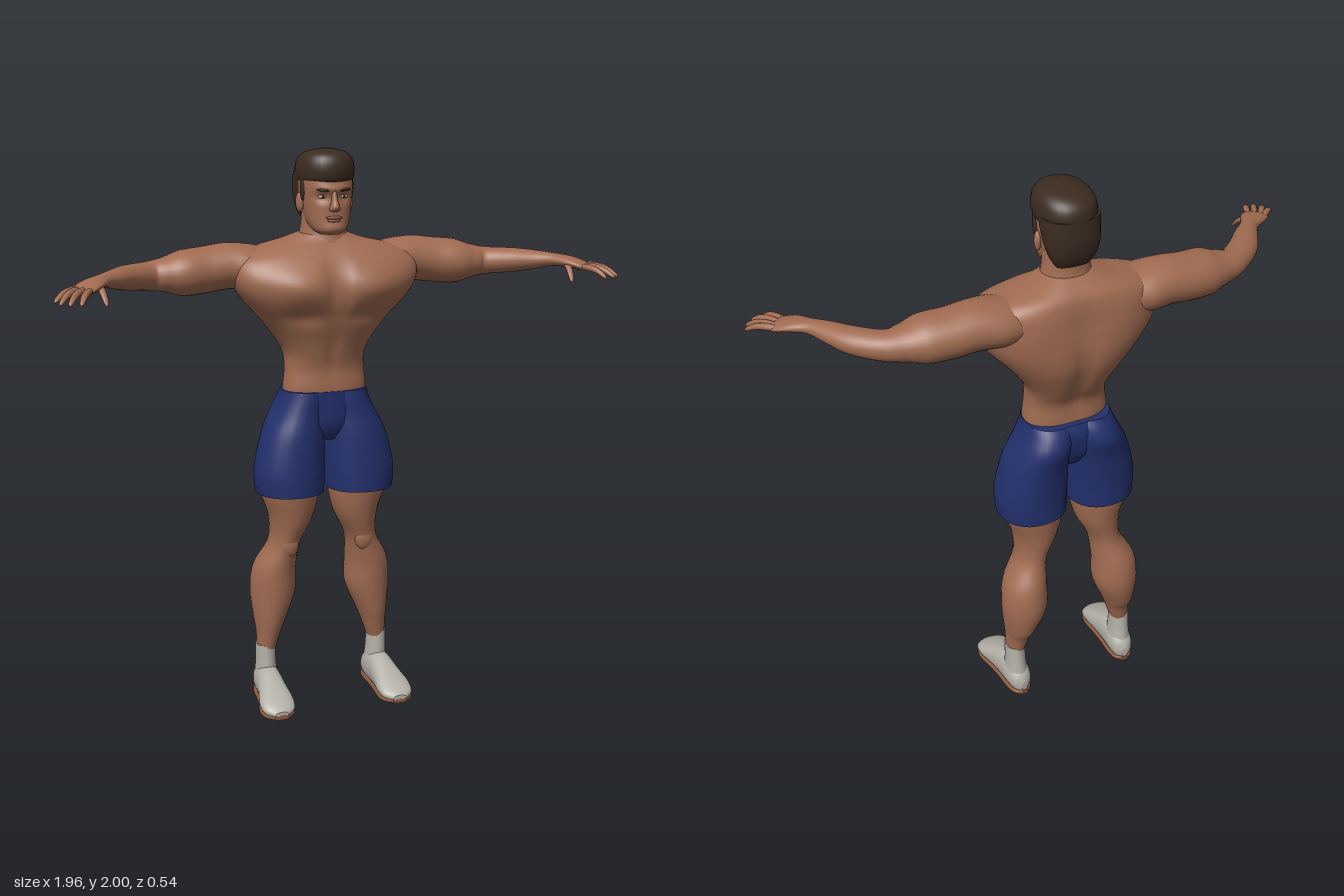
import * as THREE from 'three';

const mat = (name, color, opts = {}) => Object.assign(new THREE.MeshStandardMaterial({ color, ...opts }), { name });

// Smoothly resample rows of numbers (Catmull-Rom on every column)
function resample(rows, steps) {
  const out = [], last = rows.length - 1;
  const row = i => rows[Math.min(last, Math.max(0, i))];
  for (let i = 0; i < last; i++) {
    for (let s = 0; s < steps; s++) {
      const t = s / steps, [p, q, r, w] = [row(i - 1), row(i), row(i + 1), row(i + 2)];
      out.push(q.map((_, k) => 0.5 * (2 * q[k] + (r[k] - p[k]) * t
        + (2 * p[k] - 5 * q[k] + 4 * r[k] - w[k]) * t * t
        + (3 * q[k] - p[k] - 3 * r[k] + w[k]) * t * t * t)));
    }
  }
  out.push(rows[last]);
  return out;
}

// Loft of superellipse rings. Rows are [x, y, z, halfWidth, halfDepth].
// Upright rings lie flat and rows run bottom to top; otherwise rings face along the path.
function loft(rows, { upright = true, steps = 5, sides = 28, power = 2, warp = null } = {}) {
  const secs = resample(rows, steps), pos = [], idx = [];
  const sup = c => Math.sign(c) * Math.abs(c) ** (2 / power);
  secs.forEach((s, i) => {
    const u = new THREE.Vector3(1, 0, 0), v = new THREE.Vector3(0, 0, -1);
    if (!upright) {
      const a = secs[Math.max(0, i - 1)], b = secs[Math.min(secs.length - 1, i + 1)];
      v.set(0, 1, 0);
      u.crossVectors(v, new THREE.Vector3(b[0] - a[0], 0, b[2] - a[2]).normalize());
    }
    for (let j = 0; j < sides; j++) {
      const t = j / sides * Math.PI * 2;
      const p = new THREE.Vector3(s[0], s[1], s[2])
        .addScaledVector(u, Math.max(0.001, s[3]) * sup(Math.cos(t)))
        .addScaledVector(v, Math.max(0.001, s[4]) * sup(Math.sin(t)));
      if (warp) warp(p);
      pos.push(p.x, p.y, p.z);
    }
  });
  for (let i = 0; i < secs.length - 1; i++) {
    for (let j = 0; j < sides; j++) {
      const a = i * sides + j, b = i * sides + (j + 1) % sides;
      idx.push(a, b, a + sides, b, b + sides, a + sides);
    }
  }
  // End caps with their own vertices, so the rims stay crisp
  [0, secs.length - 1].forEach((r, end) => {
    const base = pos.length / 3, c = [0, 0, 0];
    for (let j = 0; j < sides; j++) {
      for (let k = 0; k < 3; k++) {
        const value = pos[(r * sides + j) * 3 + k];
        pos.push(value);
        c[k] += value / sides;
      }
    }
    pos.push(...c);
    for (let j = 0; j < sides; j++) {
      const a = base + j, b = base + (j + 1) % sides;
      idx.push(base + sides, ...(end ? [a, b] : [b, a]));
    }
  });
  const g = new THREE.BufferGeometry();
  g.setAttribute('position', new THREE.Float32BufferAttribute(pos, 3));
  g.setIndex(idx);
  g.computeVertexNormals();
  return g;
}

// Rows given as [y, halfWidth, frontZ, backZ] on the centre line
const centred = rows => rows.map(([y, w, f, b]) => [0, y, (f + b) / 2, w, (f - b) / 2]);
const side = (rows, s) => rows.map(([x, ...rest]) => [x * s, ...rest]);
const bump = (d, r) => Math.exp(-((d / r) ** 2));

export function createModel() {
  const root = new THREE.Group();
  root.name = 'athlete';
  const skin = mat('skin', 0xa06b51), hairMat = mat('hair', 0x3b2b20), cloth = mat('shorts fabric', 0x222f6c);
  const sockMat = mat('sock fabric', 0xb2b0a6), soleMat = mat('sole', 0x8a573d);
  const eyeMat = mat('eye white', 0xb9aaa0), irisMat = mat('iris', 0x2a1c15), lipMat = mat('lips', 0x8a5644);
  const add = (name, geometry, material, parent = root) => {
    const m = new THREE.Mesh(geometry, material);
    m.name = name;
    parent.add(m);
    return m;
  };
  const blob = (name, material, [x, y, z], [a, b, c], parent = root) => {
    const m = add(name, new THREE.SphereGeometry(1, 16, 12), material, parent);
    m.position.set(x, y, z);
    m.scale.set(a, b, c);
    return m;
  };

  // Torso with chest, breastbone, belly and spine shaped by a rule
  const torsoWarp = p => {
    const ax = Math.abs(p.x);
    if (p.z > -0.08) {
      p.z += 0.018 * bump(ax - 0.13, 0.08) * bump(p.y - 1.55, 0.06);
      p.z -= 0.03 * bump(p.x, 0.03) * bump(p.y - 1.55, 0.09);
      p.z -= 0.008 * bump(p.x, 0.015) * bump(p.y - 1.32, 0.1);
      p.z -= 0.012 * bump(ax - 0.11, 0.07) * bump(p.y - 1.44, 0.03);
    } else {
      p.z += 0.018 * bump(p.x, 0.035) * bump(p.y - 1.42, 0.2);
      p.z -= 0.008 * bump(ax - 0.15, 0.07) * bump(p.y - 1.58, 0.07);
    }
  };
  add('torso', loft(centred([
    [1.1, 0.145, -0.02, -0.19], [1.17, 0.15, -0.012, -0.19], [1.24, 0.143, -0.015, -0.19],
    [1.3, 0.147, 0, -0.222], [1.36, 0.182, 0.02, -0.25], [1.42, 0.23, 0.045, -0.27],
    [1.48, 0.285, 0.07, -0.275], [1.53, 0.32, 0.08, -0.27], [1.58, 0.335, 0.068, -0.262],
    [1.63, 0.32, 0.035, -0.255], [1.665, 0.25, 0, -0.245], [1.69, 0.15, -0.03, -0.225], [1.715, 0.08, -0.045, -0.19],
  ]), { sides: 72, power: 2.4, warp: torsoWarp }), skin);
  add('neck', loft(centred([
    [1.64, 0.13, -0.015, -0.22], [1.68, 0.1, -0.025, -0.2], [1.72, 0.083, -0.035, -0.18], [1.8, 0.075, -0.035, -0.175],
  ])), skin);

  // Head
  const head = new THREE.Group();
  head.name = 'head';
  root.add(head);
  const faceWarp = p => {
    if (p.z < -0.05) return;
    const ax = Math.abs(p.x);
    p.z -= 0.012 * bump(ax - 0.038, 0.022) * bump(p.y - 1.84, 0.018);
    p.z += 0.009 * bump(p.y - 1.868, 0.014) * bump(ax, 0.06);
    p.z += 0.008 * bump(p.y - 1.735, 0.02) * bump(ax, 0.035);
  };
  add('face', loft(centred([
    [1.715, 0.035, 0.002, -0.07], [1.73, 0.058, 0.012, -0.1], [1.76, 0.073, 0.014, -0.14], [1.8, 0.081, 0.014, -0.17],
    [1.85, 0.088, 0.015, -0.19], [1.9, 0.09, 0.014, -0.195], [1.95, 0.08, 0, -0.185],
  ]), { sides: 56, steps: 7, power: 2.4, warp: faceWarp }), skin, head);
  add('nose', loft(centred([
    [1.793, 0.008, 0.022, 0], [1.8, 0.019, 0.036, 0], [1.812, 0.016, 0.042, 0],
    [1.835, 0.01, 0.031, 0], [1.865, 0.009, 0.021, 0],
  ]), { sides: 16 }), skin, head);
  blob('upperLip', lipMat, [0, 1.773, 0.012], [0.03, 0.006, 0.009], head);
  blob('lowerLip', lipMat, [0, 1.763, 0.011], [0.025, 0.006, 0.009], head);
  for (const s of [1, -1]) {
    blob('eye', eyeMat, [0.038 * s, 1.843, -0.001], [0.015, 0.006, 0.007], head);
    blob('iris', irisMat, [0.038 * s, 1.843, 0.003], [0.006, 0.006, 0.005], head);
    const brow = blob('eyebrow', hairMat, [0.038 * s, 1.866, 0.012], [0.023, 0.005, 0.009], head);
    brow.rotation.set(0, 0.25 * s, 0.08 * s);
    blob('ear', skin, [0.09 * s, 1.82, -0.09], [0.012, 0.034, 0.02], head).rotation.y = -0.3 * s;
    blob('sideburn', hairMat, [0.086 * s, 1.87, -0.068], [0.009, 0.045, 0.017], head);
  }
  // Hair: a crown and a lower back part
  add('hairCrown', loft(centred([
    [1.893, 0.092, 0.016, -0.21], [1.905, 0.096, 0.024, -0.213], [1.935, 0.098, 0.028, -0.213],
    [1.965, 0.09, 0.022, -0.2], [1.987, 0.068, 0.002, -0.165], [2, 0.02, -0.04, -0.1],
  ]), { power: 2.2 }), hairMat, head);
  add('hairBack', loft(centred([
    [1.755, 0.06, -0.125, -0.187], [1.79, 0.08, -0.11, -0.203], [1.84, 0.093, -0.085, -0.213],
    [1.89, 0.096, -0.055, -0.214], [1.92, 0.096, -0.04, -0.213],
  ]), { power: 2.5 }), hairMat, head);

  // Shorts: hips plus two wide legs
  add('shortsHips', loft([
    [0, 0.985, -0.11, 0.05, 0.07], [0, 1.04, -0.112, 0.12, 0.1],
    [0, 1.12, -0.115, 0.158, 0.107], [0, 1.165, -0.108, 0.154, 0.1],
  ], { sides: 40, power: 2.3 }), cloth);

  for (const s of [1, -1]) {
    const word = s > 0 ? 'left' : 'right';
    const limb = part => {
      const g = new THREE.Group();
      g.name = word + part;
      root.add(g);
      return g;
    };
    const leg = limb('Leg'), arm = limb('Arm');

    add('shortsLeg', loft(side([
      [0.13, 0.795, -0.105, 0.122, 0.125], [0.13, 0.88, -0.105, 0.126, 0.124], [0.115, 1, -0.112, 0.112, 0.123],
      [0.095, 1.08, -0.125, 0.093, 0.125], [0.08, 1.13, -0.12, 0.084, 0.116], [0.072, 1.165, -0.11, 0.08, 0.102],
    ], s), { power: 2.2 }), cloth, leg);
    add('bareLeg', loft(side([
      [0.217, 0.17, -0.14, 0.031, 0.04], [0.205, 0.25, -0.142, 0.045, 0.057], [0.198, 0.3, -0.15, 0.058, 0.075],
      [0.183, 0.4, -0.157, 0.082, 0.092], [0.177, 0.5, -0.15, 0.078, 0.09], [0.146, 0.6, -0.128, 0.058, 0.077],
      [0.123, 0.7, -0.118, 0.082, 0.092], [0.129, 0.8, -0.115, 0.108, 0.105], [0.13, 0.88, -0.112, 0.1, 0.1],
    ], s)), skin, leg);
    blob('kneecap', skin, [0.143 * s, 0.595, -0.07], [0.035, 0.045, 0.022], leg);
    add('sockCuff', loft(side([
      [0.215, 0.07, -0.145, 0.043, 0.058], [0.216, 0.13, -0.142, 0.037, 0.05], [0.217, 0.205, -0.14, 0.036, 0.044],
    ], s)), sockMat, leg);

    // Foot runs heel to toe; the sole is the same loft pressed flat
    const foot = side([
      [0.21, 0.04, -0.215, 0.012, 0.02], [0.212, 0.05, -0.195, 0.036, 0.045], [0.215, 0.06, -0.15, 0.046, 0.062],
      [0.218, 0.06, -0.09, 0.048, 0.064], [0.221, 0.05, -0.03, 0.054, 0.052], [0.225, 0.038, 0.03, 0.063, 0.036],
      [0.226, 0.027, 0.075, 0.055, 0.022], [0.226, 0.02, 0.1, 0.025, 0.01],
    ], s);
    add('foot', loft(foot, { upright: false, power: 2.2, warp: p => { p.y = Math.max(p.y, 0.014); } }), sockMat, leg);
    add('sole', loft(foot.map(([x, , z, a]) => [x, 0.009, z, a, 0.009]), { upright: false, power: 4 }), soleMat, leg);

    // Arm from shoulder to palm, curving forward
    add('armToPalm', loft(side([
      [0.17, 1.595, -0.14, 0.09, 0.065], [0.26, 1.6, -0.14, 0.108, 0.078], [0.34, 1.605, -0.142, 0.097, 0.08],
      [0.42, 1.596, -0.138, 0.094, 0.08], [0.5, 1.59, -0.126, 0.092, 0.078], [0.56, 1.588, -0.122, 0.073, 0.06],
      [0.62, 1.587, -0.112, 0.055, 0.049], [0.7, 1.593, -0.052, 0.052, 0.043], [0.755, 1.6, 0.015, 0.042, 0.033],
      [0.8, 1.605, 0.068, 0.032, 0.023], [0.845, 1.601, 0.115, 0.045, 0.019], [0.88, 1.59, 0.149, 0.045, 0.014],
      [0.894, 1.586, 0.162, 0.03, 0.009],
    ], s), { upright: false }), skin, arm);
    // Fingers and thumb: [base x, y, z, tip x, y, z]
    [
      [0.895, 1.589, 0.122, 0.978, 1.564, 0.205], [0.895, 1.59, 0.143, 0.966, 1.56, 0.238],
      [0.88, 1.59, 0.16, 0.94, 1.56, 0.263], [0.86, 1.588, 0.17, 0.905, 1.56, 0.268],
      [0.825, 1.598, 0.115, 0.812, 1.543, 0.195],
    ].forEach(([x, y, z, X, Y, Z], i) => {
      const at = (t, r) => [x + (X - x) * t, y + (Y - y) * t + 0.012 * Math.sin(t * Math.PI), z + (Z - z) * t, r, r];
      add(i < 4 ? 'finger' : 'thumb', loft(side([
        at(-0.15, 0.009), at(0.2, 0.0115), at(0.6, 0.011), at(0.9, 0.008), at(1, 0.002),
      ], s), { upright: false, sides: 12, steps: 3 }), skin, arm);
    });
  }
  return root;
}
